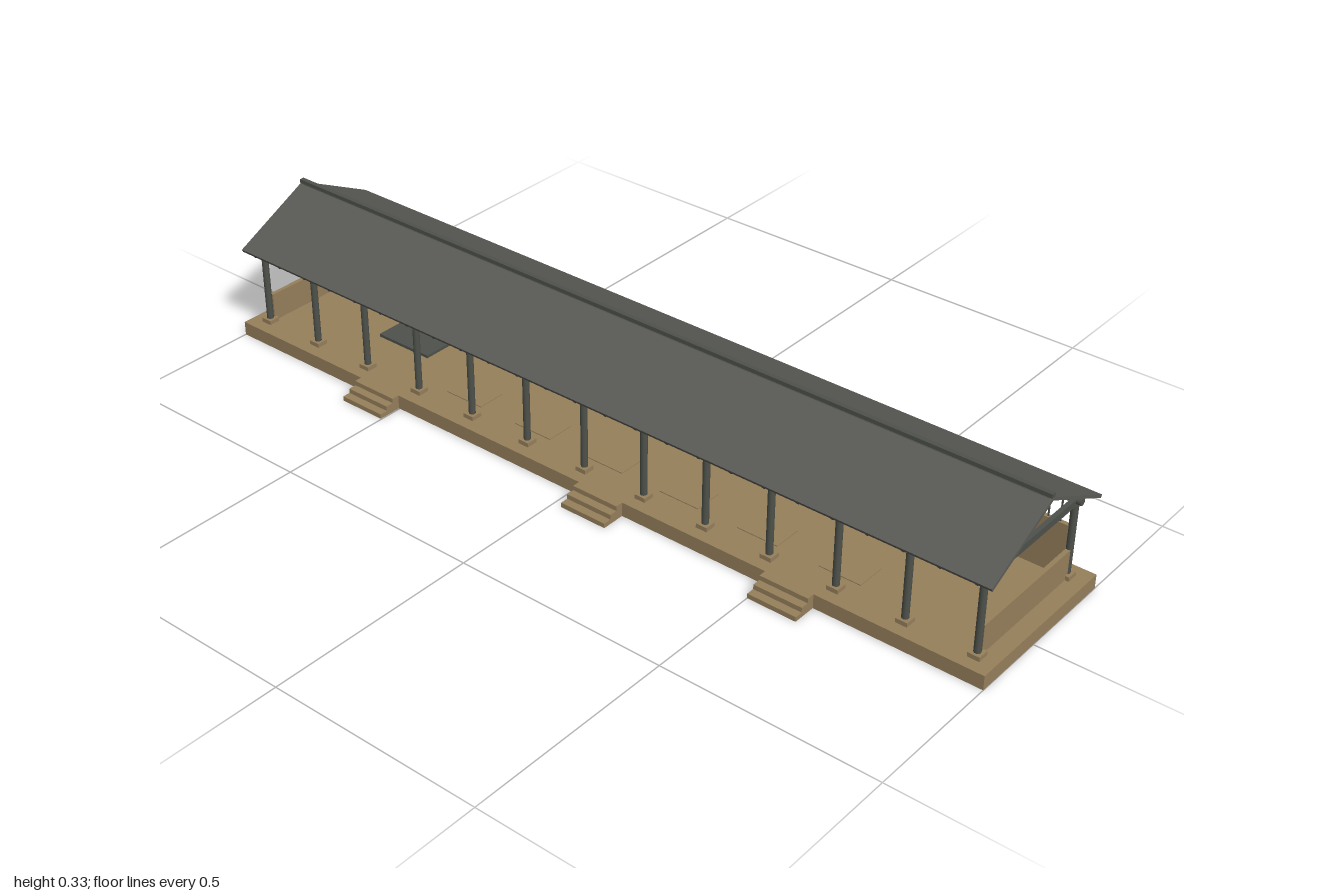
import * as THREE from 'three';

export function createModel() {
  const model = new THREE.Group();
  const mat = (name, color) => {
    const m = new THREE.MeshStandardMaterial({ color });
    m.name = name;
    return m;
  };
  const clay = mat('tan clay', 0x97805c);
  const slate = mat('grey roof', 0x5a5b56);
  const timber = mat('dark timber', 0x4f524b);

  const add = (name, geometry, material) => {
    const mesh = new THREE.Mesh(geometry, material);
    mesh.name = name;
    model.add(mesh);
    return mesh;
  };
  // Box given by its extents on each axis
  const box = (name, x0, x1, y0, y1, z0, z1, material) => {
    const mesh = add(name, new THREE.BoxGeometry(x1 - x0, y1 - y0, z1 - z0), material);
    mesh.position.set((x0 + x1) / 2, (y0 + y1) / 2, (z0 + z1) / 2);
    return mesh;
  };
  // Round log between two points
  const log = (name, a, b, radius, sides = 12) => {
    const from = new THREE.Vector3(...a);
    const to = new THREE.Vector3(...b);
    const dir = to.clone().sub(from);
    const mesh = add(name, new THREE.CylinderGeometry(radius, radius, dir.length(), sides), timber);
    mesh.position.copy(from).add(to).multiplyScalar(0.5);
    mesh.quaternion.setFromUnitVectors(new THREE.Vector3(0, 1, 0), dir.normalize());
    return mesh;
  };

  const FLOOR = 0.033, MID = -0.027, HALF = 0.16, BAY = 0.1595;
  const FRONT = MID + HALF, BACK = MID - HALF, END = BAY * 6;

  // Plinth and three flights of steps
  box('plinth', -1, 1, 0, FLOOR, -0.229, 0.175, clay);
  for (const x of [-0.56, 0.079, 0.558]) {
    for (let i = 0; i < 3; i++) {
      box('step', x - 0.058, x + 0.058, 0, FLOOR - i * 0.011, 0.175, 0.193 + i * 0.019, clay);
    }
  }

  // Posts on square footings, one pair per frame, with tie beam and rafters
  for (let i = -6; i <= 6; i++) {
    const x = i * BAY;
    for (const z of [FRONT, BACK]) {
      box('footing', x - 0.0135, x + 0.0135, FLOOR, 0.043, z - 0.0135, z + 0.0135, clay);
      log('post', [x, 0.043, z], [x, 0.216, z], 0.0078);
    }
    box('tieBeam', x - 0.005, x + 0.005, 0.203, 0.219, BACK, FRONT, timber);
  }
  for (let i = -12; i <= 12; i++) {
    for (const s of [-1, 1]) {
      const x = i * BAY / 2;
      log('rafter', [x, 0.307, MID], [x, 0.2135, MID + s * 0.189], 0.0045, 8);
    }
  }

  // Eave beams and ridge beam
  for (const z of [FRONT, BACK]) log('eaveBeam', [-0.972, 0.214, z], [0.972, 0.214, z], 0.0085);
  log('ridgeBeam', [-0.985, 0.309, MID], [0.985, 0.309, MID], 0.0095);

  // Gabled roof sheet
  const profile = new THREE.Shape();
  [[0, 0.319], [0.195, 0.222], [0.192, 0.2155], [0, 0.3115], [-0.192, 0.2155], [-0.195, 0.222]]
    .forEach(([z, y], i) => (i ? profile.lineTo(z, y) : profile.moveTo(z, y)));
  const roofGeometry = new THREE.ExtrudeGeometry(profile, { depth: 1.984, bevelEnabled: false });
  roofGeometry.rotateY(Math.PI / 2).translate(-0.992, 0, MID);
  add('roof', roofGeometry, slate);
  box('ridgeCap', -0.992, 0.992, 0.318, 0.327, MID - 0.0055, MID + 0.0055, timber);

  for (const s of [-1, 1]) {
    // Low end walls and taller back walls, leaving the middle bays open
    const x = s * END;
    box('endWall', x - 0.005, x + 0.005, FLOOR, 0.1, BACK, FRONT - 0.009, clay);
    const inner = s * BAY;
    box('backWall', Math.min(x, inner), Math.max(x, inner), FLOOR, 0.152, BACK - 0.005, BACK + 0.005, clay);
    // Slender lattice bars above the back walls
    for (let bay = 1; bay < 6; bay++) {
      for (let k = 1; k < 6; k++) {
        const bx = s * BAY * (bay + k / 6);
        box('latticeBar', bx - 0.0015, bx + 0.0015, 0.152, 0.212, BACK - 0.0015, BACK + 0.0015, timber);
      }
    }
  }

  // Low dais inside
  box('daisBase', -0.69, -0.57, FLOOR, 0.039, -0.07, 0.016, timber);
  box('daisTop', -0.706, -0.556, 0.039, 0.046, -0.082, 0.028, timber);

  // Thin floor mats
  for (let i = 0; i < 6; i++) {
    const x = -0.38 + i * 0.2;
    for (const z of [-0.1, 0.06]) box('mat', x - 0.05, x + 0.05, FLOOR, FLOOR + 0.002, z - 0.035, z + 0.035, clay);
  }
  return model;
}
